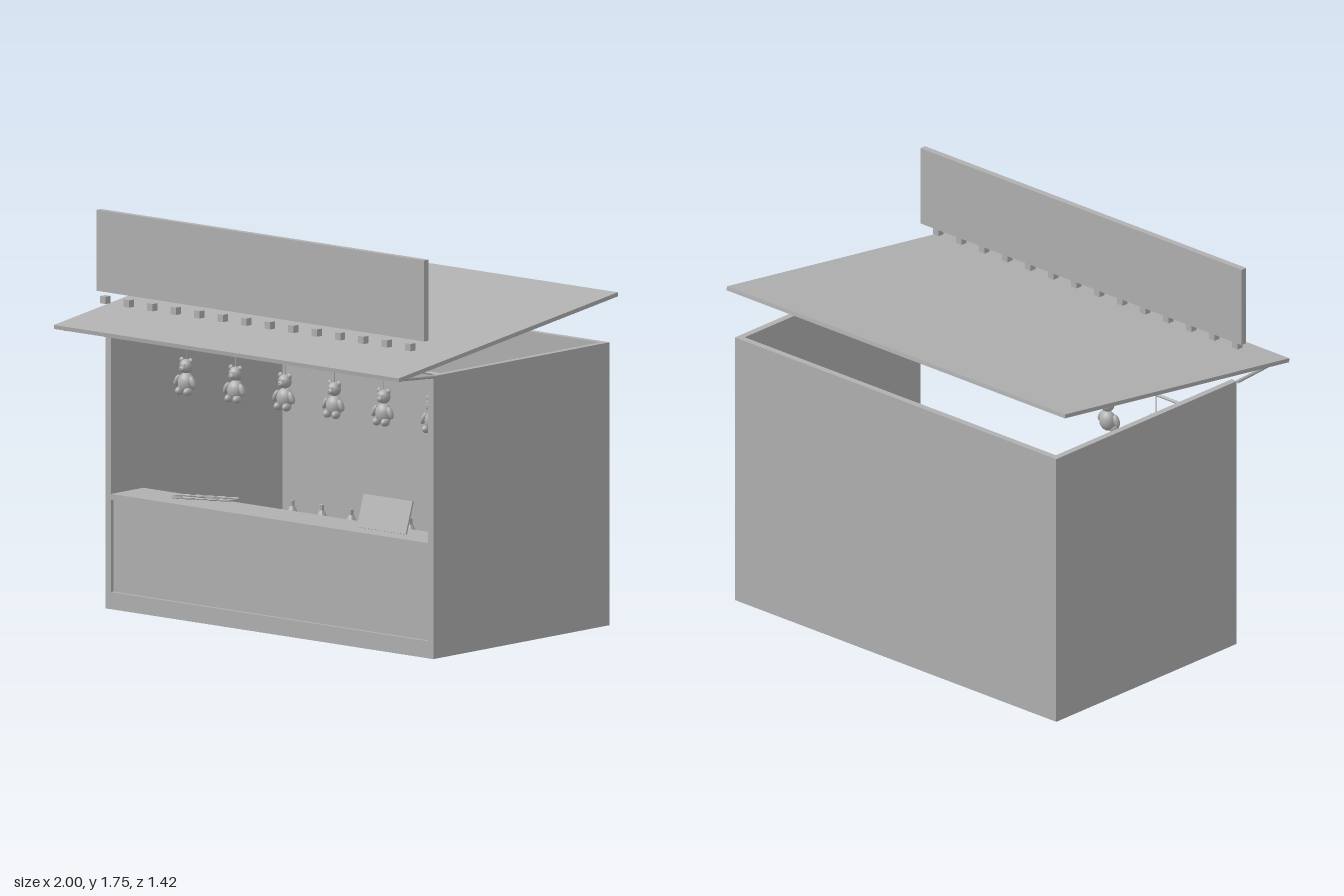
import * as THREE from 'three';

const grey = new THREE.MeshStandardMaterial({ color: 0xb0b0b0 });

function add(parent, name, geometry, x = 0, y = 0, z = 0) {
  const mesh = new THREE.Mesh(geometry, grey);
  mesh.name = name;
  mesh.position.set(x, y, z);
  parent.add(mesh);
  return mesh;
}

// Box given by its lower and upper limits
function block(parent, name, [x0, x1], [y0, y1], [z0, z1]) {
  return add(parent, name, new THREE.BoxGeometry(x1 - x0, y1 - y0, z1 - z0),
    (x0 + x1) / 2, (y0 + y1) / 2, (z0 + z1) / 2);
}

// Round bar between two points
function bar(parent, name, a, b, radius) {
  const from = new THREE.Vector3(...a), to = new THREE.Vector3(...b);
  const dir = to.clone().sub(from);
  const mesh = add(parent, name, new THREE.CylinderGeometry(radius, radius, dir.length(), 8));
  mesh.position.copy(from).add(to).multiplyScalar(0.5);
  mesh.quaternion.setFromUnitVectors(new THREE.Vector3(0, 1, 0), dir.normalize());
  return mesh;
}

function group(parent, name) {
  const g = new THREE.Group();
  g.name = name;
  parent.add(g);
  return g;
}

const ball = new THREE.SphereGeometry(1, 14, 10);
function blob(parent, name, x, y, z, rx, ry, rz, tilt = 0) {
  const mesh = add(parent, name, ball, x, y, z);
  mesh.scale.set(rx, ry, rz);
  mesh.rotation.z = tilt;
}

// Toy bear hanging on a string
function bear(parent, x, z) {
  const g = group(parent, 'toyBear');
  g.position.set(x, 0, z);
  blob(g, 'body', 0, 0.982, 0, 0.04, 0.046, 0.034);
  blob(g, 'head', 0, 1.056, 0, 0.031, 0.031, 0.029);
  blob(g, 'snout', 0, 1.047, 0.027, 0.014, 0.012, 0.012);
  blob(g, 'nose', 0, 1.052, 0.039, 0.004, 0.004, 0.004);
  for (const s of [-1, 1]) {
    blob(g, 'ear', s * 0.026, 1.081, 0, 0.012, 0.012, 0.008);
    blob(g, 'eye', s * 0.011, 1.064, 0.026, 0.004, 0.004, 0.004);
    blob(g, 'arm', s * 0.045, 0.99, 0.008, 0.013, 0.028, 0.014, s * 0.45);
    blob(g, 'leg', s * 0.024, 0.947, 0.016, 0.017, 0.018, 0.024);
  }
  bar(g, 'string', [0, 1.08, 0], [0, 1.19, 0], 0.002);
}

export function createModel() {
  const root = new THREE.Group();
  root.name = 'gameBooth';

  // Booth shell, open at the top and above the counter
  const shell = group(root, 'shell');
  block(shell, 'floor', [-0.95, 0.95], [0, 0.075], [-0.71, 0.43]);
  block(shell, 'backWall', [-0.92, 0.92], [0.075, 1.24], [-0.71, -0.68]);
  for (const s of [-1, 1])
    block(shell, 'sideWall', s < 0 ? [-0.95, -0.92] : [0.92, 0.95], [0.075, 1.24], [-0.71, 0.43]);
  block(shell, 'frontPanel', [-0.92, 0.92], [0.075, 0.48], [0.385, 0.412]);
  block(shell, 'counter', [-0.92, 0.92], [0.48, 0.505], [0.22, 0.43]);

  // Stepped shelf along the back wall
  block(root, 'upperStep', [-0.92, 0.92], [0.075, 0.235], [-0.68, -0.52]);
  block(root, 'lowerStep', [-0.92, 0.92], [0.075, 0.165], [-0.52, -0.36]);

  // Faceted bottles, one row on each step
  const profile = [[0, 0], [0.027, 0], [0.027, 0.07], [0.011, 0.105], [0.011, 0.13], [0, 0.13]]
    .map(([r, y]) => new THREE.Vector2(r, y));
  const bottle = new THREE.LatheGeometry(profile, 8).toNonIndexed();
  bottle.computeVertexNormals();
  for (const [y, z] of [[0.235, -0.575], [0.165, -0.43]])
    for (let i = 0; i < 10; i++) add(root, 'bottle', bottle, -0.77 + i * 0.171, y, z);

  // Sloping roof with its front struts
  const slope = Math.atan2(0.193, 1.42);
  const roof = add(root, 'roof', new THREE.BoxGeometry(2, 0.018, 1.43), 0, 1.36, 0);
  roof.rotation.x = slope;
  for (const s of [-1, 1])
    bar(root, 'roofStrut', [s * 0.955, 1.239, 0.43], [s * 0.955, 1.257, 0.69], 0.008);

  // Sign board and the row of lamps below it
  block(root, 'signBoard', [-0.95, 0.95], [1.4, 1.755], [0.461, 0.49]);
  for (let i = 0; i < 14; i++)
    add(root, 'lamp', new THREE.BoxGeometry(0.032, 0.032, 0.032), -0.884 + i * 0.136, 1.371, 0.505);

  // Prize rail with hanging bears
  bar(root, 'prizeRail', [-0.905, 1.19, 0.17], [0.905, 1.19, 0.17], 0.007);
  for (let i = 0; i < 6; i++) bear(root, -0.716 + i * 0.2862, 0.17);

  // Throwing rings fanned along the counter
  const ring = new THREE.TorusGeometry(0.04, 0.005, 8, 20).rotateX(Math.PI / 2);
  for (let i = 0; i < 5; i++)
    add(root, 'throwingRing', ring, -0.618 + i * 0.069, 0.514 + i * 0.005, 0.31).rotation.z = 0.08;

  // Leaning notice card
  const card = add(root, 'noticeCard', new THREE.BoxGeometry(0.284, 0.147, 0.008), 0.57, 0.576, 0.317);
  card.rotation.x = -0.31;

  return root;
}
